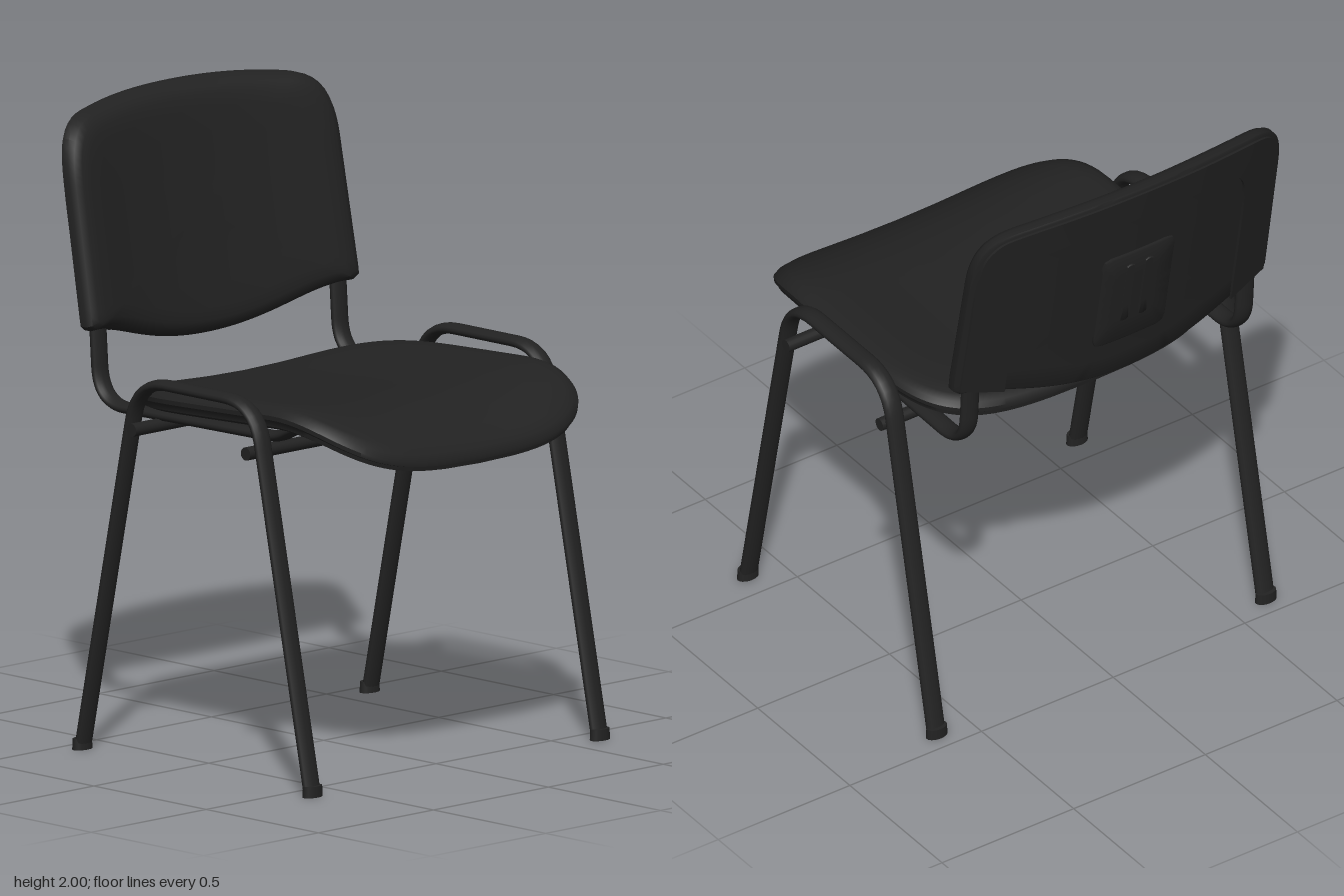
import * as THREE from 'three';
import { toCreasedNormals } from 'three/addons/utils/BufferGeometryUtils.js';

const V2 = (x, y) => new THREE.Vector2(x, y);
const V3 = (x, y, z) => new THREE.Vector3(x, y, z);

// Skin between rows of points
function loft(rows, closed) {
  const n = rows[0].length, pos = [], idx = [];
  rows.forEach(r => r.forEach(p => pos.push(p.x, p.y, p.z)));
  for (let i = 0; i < rows.length - 1; i++) {
    for (let j = 0; j < (closed ? n : n - 1); j++) {
      const k = (j + 1) % n, a = i * n + j, b = a + n, c = b - j + k, d = a - j + k;
      if (i > 0) idx.push(a, b, d);
      if (i < rows.length - 2 || !closed) idx.push(b, c, d);
      else idx.push(a, b, d);
      if (i === 0) closed ? idx.push(a, b, c) : idx.push(a, b, d);
    }
  }
  const g = new THREE.BufferGeometry();
  g.setAttribute('position', new THREE.Float32BufferAttribute(pos, 3));
  g.setIndex(idx);
  return toCreasedNormals(g, 0.7);
}

// Padded slab: an outline scaled about a centre through [scale, height] steps
function pad(outline, centre, profile, place) {
  return loft(profile.map(([s, h]) => outline.map(p =>
    place(centre.x + (p.x - centre.x) * s, centre.y + (p.y - centre.y) * s, h))), true);
}

// Oval tube along a polyline in the side plane, [z, y] points, rounded corners
function ovalTube(points, radius, halfWidth, x) {
  const p = points.map(([z, y]) => V3(0, y, z)), path = new THREE.CurvePath();
  let from = p[0];
  for (let i = 1; i < p.length - 1; i++) {
    const r = Math.min(radius, p[i].distanceTo(p[i + 1]) * 0.45);
    const a = p[i].clone().add(p[i - 1].clone().sub(p[i]).setLength(r));
    const b = p[i].clone().add(p[i + 1].clone().sub(p[i]).setLength(r));
    path.add(new THREE.LineCurve3(from, a));
    path.add(new THREE.QuadraticBezierCurve3(a, p[i], b));
    from = b;
  }
  path.add(new THREE.LineCurve3(from, p[p.length - 1]));
  const t = 0.0175;
  return new THREE.TubeGeometry(path, 110, t, 14).scale(halfWidth / t, 1, 1).translate(x, 0, 0);
}

export function createModel() {
  const chair = new THREE.Group();
  chair.name = 'chair';
  const black = new THREE.MeshStandardMaterial({ color: 0x222222 });
  black.name = 'black';
  black.side = THREE.DoubleSide;
  const add = (name, geometry) => {
    const m = new THREE.Mesh(geometry, black);
    m.name = name;
    chair.add(m);
    return m;
  };

  // Seat: rounded square, dished across and rolled down at the front
  const seatOutline = [];
  const power = (v) => Math.sign(v) * Math.pow(Math.abs(v), 2 / 4.3);
  for (let i = 0; i < 112; i++) {
    const a = i / 112 * Math.PI * 2;
    seatOutline.push(V2(0.585 * power(Math.cos(a)), -0.16 + 0.545 * power(Math.sin(a))));
  }
  const seatPlace = (a, b, h) => {
    const z = -b, roll = Math.max(0, z - 0.35);
    return V3(a, 1.11 + 0.04 * z - roll * roll + 0.045 * (a / 0.585) ** 2 + h, z);
  };
  add('seat', pad(seatOutline, V2(0, -0.16), [
    [0, 0.04], [0.2, 0.04], [0.4, 0.04], [0.6, 0.04], [0.75, 0.04], [0.87, 0.037], [0.94, 0.029],
    [0.98, 0.016], [1, 0], [0.998, -0.014], [0.985, -0.02], [0.98, -0.035], [0.95, -0.042],
    [0.8, -0.042], [0.6, -0.042], [0.4, -0.042], [0.2, -0.042], [0, -0.042]], seatPlace));

  // Backrest: leaning back and bowed around the sitter
  const shape = new THREE.Shape();
  shape.moveTo(0, 1.22);
  shape.bezierCurveTo(0.28, 1.22, 0.4, 1.31, 0.57, 1.315);
  shape.quadraticCurveTo(0.592, 1.315, 0.592, 1.34);
  shape.lineTo(0.585, 1.78);
  shape.bezierCurveTo(0.58, 1.92, 0.53, 1.965, 0.42, 1.975);
  shape.bezierCurveTo(0.28, 1.995, 0.14, 2, 0, 2);
  shape.bezierCurveTo(-0.14, 2, -0.28, 1.995, -0.42, 1.975);
  shape.bezierCurveTo(-0.53, 1.965, -0.58, 1.92, -0.585, 1.78);
  shape.lineTo(-0.592, 1.34);
  shape.quadraticCurveTo(-0.592, 1.315, -0.57, 1.315);
  shape.bezierCurveTo(-0.4, 1.31, -0.28, 1.22, 0, 1.22);
  const backOutline = shape.getSpacedPoints(128).slice(0, -1);
  const backPlace = (a, b, h) =>
    V3(a, b, -0.515 - 0.18 * (b - 1.22) + 0.09 * (a / 0.585) ** 2 + h);
  add('backrest', pad(backOutline, V2(0, 1.6), [
    [0, 0.04], [0.2, 0.04], [0.4, 0.04], [0.6, 0.04], [0.78, 0.04], [0.88, 0.037], [0.94, 0.028],
    [0.98, 0.012], [1, -0.008], [1, -0.034], [0.985, -0.038],
    [0.8, -0.035], [0.6, -0.035], [0.4, -0.035], [0.2, -0.035], [0, -0.035]], backPlace));

  // Raised rim around the rear shell, open at the bottom
  const arch = half => new THREE.SplineCurve(
    [...half, ...half.slice(0, -1).reverse().map(([x, y]) => [-x, y])].map(([x, y]) => V2(x, y))
  ).getPoints(64);
  const outer = arch([[0.575, 1.33], [0.572, 1.55], [0.568, 1.78], [0.535, 1.91], [0.41, 1.96], [0, 1.985]]);
  const inner = arch([[0.43, 1.29], [0.43, 1.5], [0.425, 1.72], [0.4, 1.82], [0.32, 1.86], [0, 1.88]]);
  const rimRow = (pts, h) => pts.map(p => backPlace(p.x, p.y, h));
  add('backrestRim', loft([rimRow(outer, -0.03), rimRow(outer, -0.046),
    rimRow(inner, -0.046), rimRow(inner, -0.03)], false));

  // Raised centre panel with two upright ribs on the rear shell
  const plate = (name, x, y, w, h, r, depth) => {
    const s = new THREE.Shape(), l = x - w / 2, b = y - h / 2;
    s.moveTo(l + r, b);
    s.lineTo(l + w - r, b).quadraticCurveTo(l + w, b, l + w, b + r);
    s.lineTo(l + w, b + h - r).quadraticCurveTo(l + w, b + h, l + w - r, b + h);
    s.lineTo(l + r, b + h).quadraticCurveTo(l, b + h, l, b + h - r);
    s.lineTo(l, b + r).quadraticCurveTo(l, b, l + r, b);
    add(name, pad(s.getSpacedPoints(48).slice(0, -1), V2(x, y),
      [[0, -0.03], [1, -0.03], [1, depth + 0.003], [0.97, depth], [0.5, depth], [0, depth]], backPlace));
  };
  plate('backPanel', 0, 1.55, 0.27, 0.37, 0.03, -0.046);
  for (const x of [-0.035, 0.035]) plate('backPanelRib', x, 1.57, 0.03, 0.24, 0.01, -0.052);

  // Frame: leg hoops, feet and back supports, mirrored
  for (const side of [-1, 1]) {
    add('legHoop', ovalTube([[0.588, 0.01], [0.342, 1.21], [-0.18, 1.21], [-0.432, 0.01]],
      0.13, 0.033, side * 0.625));
    for (const z of [0.59, -0.435]) {
      const foot = add('foot', new THREE.CylinderGeometry(0.036, 0.038, 0.035, 20).scale(1, 1, 0.62));
      foot.position.set(side * 0.625, 0.0175, z);
    }
    add('backSupport', ovalTube([[-0.48, 1.45], [-0.455, 1.08], [0.34, 1.09], [0.42, 1.13]],
      0.12, 0.033, side * 0.522));
  }

  // Crossbars under the seat
  for (const z of [0.33, -0.178]) {
    const bar = add('crossbar', new THREE.CylinderGeometry(0.021, 0.021, 1.325, 18).rotateZ(Math.PI / 2));
    bar.position.set(0, 1.055, z);
  }
  return chair;
}
